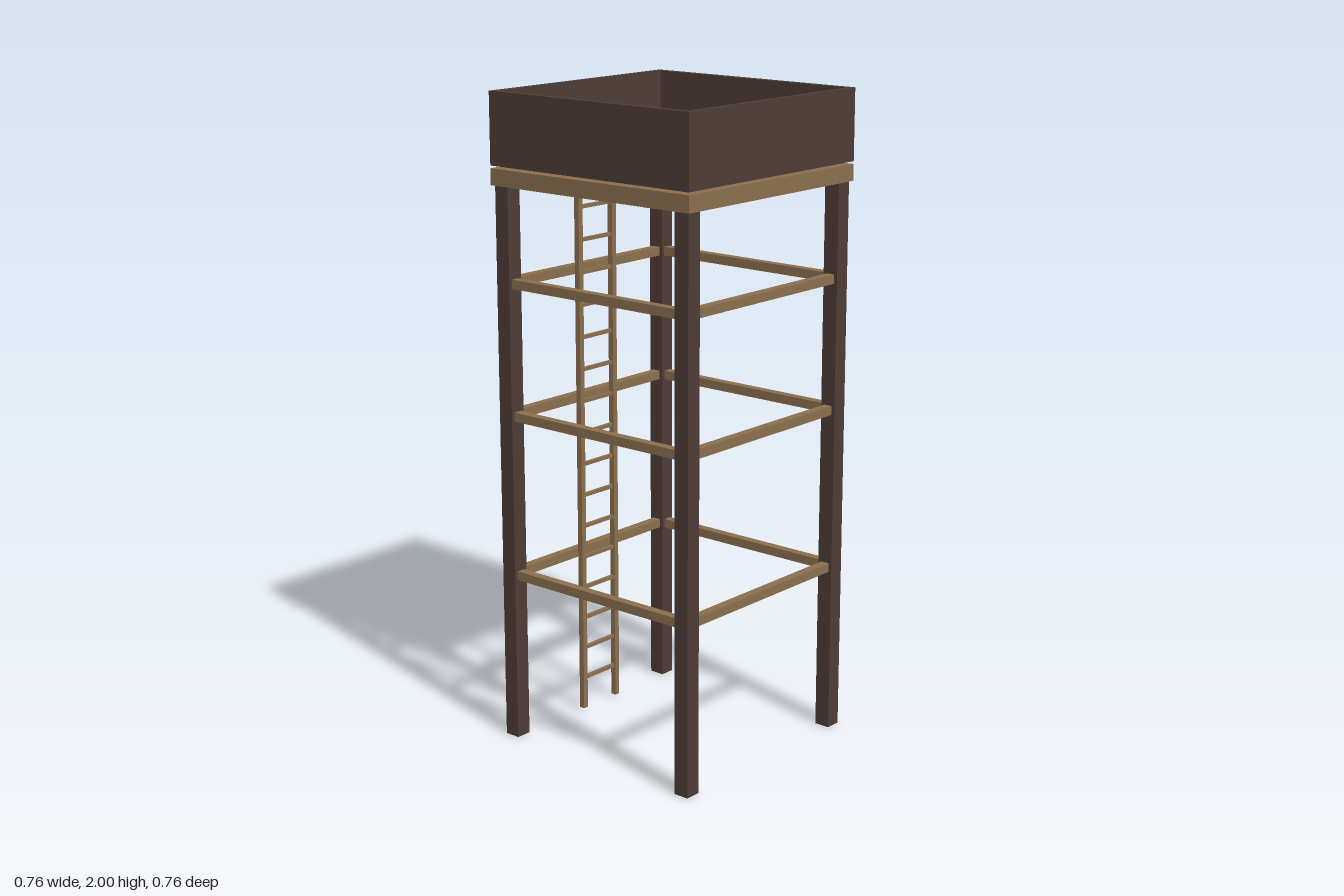
import * as THREE from 'three';

export function createModel() {
  const model = new THREE.Group();
  model.name = 'watchtower';

  const darkWood = new THREE.MeshStandardMaterial({ color: 0x4e3c36 });
  darkWood.name = 'dark wood';
  const lightWood = new THREE.MeshStandardMaterial({ color: 0x8b6f4e });
  lightWood.name = 'light wood';

  function addBox(parent, name, material, size, position) {
    const mesh = new THREE.Mesh(new THREE.BoxGeometry(...size), material);
    mesh.name = name;
    mesh.position.set(...position);
    parent.add(mesh);
  }

  function addGroup(name) {
    const group = new THREE.Group();
    group.name = name;
    model.add(group);
    return group;
  }

  const LEG = 0.05, LEG_POS = 0.344, DECK_BOTTOM = 1.725, DECK = 0.756;
  const SPAN = 2 * LEG_POS - LEG;

  // Four corner legs
  const legs = addGroup('legs');
  for (const x of [-1, 1]) for (const z of [-1, 1]) {
    addBox(legs, 'leg', darkWood, [LEG, DECK_BOTTOM, LEG],
      [x * LEG_POS, DECK_BOTTOM / 2, z * LEG_POS]);
  }

  // Three rings of horizontal braces between the legs
  const braces = addGroup('braces');
  const BRACE = 0.028;
  for (const y of [0.528, 1.03, 1.435]) for (const side of [-1, 1]) {
    addBox(braces, 'crossBrace', lightWood, [SPAN, BRACE, BRACE], [0, y, side * LEG_POS]);
    addBox(braces, 'sideBrace', lightWood, [BRACE, BRACE, SPAN], [side * LEG_POS, y, 0]);
  }

  // Platform floor
  addBox(model, 'platform', lightWood, [DECK, 0.05, DECK], [0, DECK_BOTTOM + 0.025, 0]);

  // Parapet walls, raised slightly above the floor
  const parapet = addGroup('parapet');
  const WALL = 0.02, WALL_BOTTOM = 1.783, wallHeight = 2 - WALL_BOTTOM;
  const wallY = WALL_BOTTOM + wallHeight / 2, wallPos = (DECK - WALL) / 2;
  for (const side of [-1, 1]) {
    addBox(parapet, 'crossWall', darkWood, [DECK, wallHeight, WALL], [0, wallY, side * wallPos]);
    addBox(parapet, 'sideWall', darkWood, [WALL, wallHeight, DECK - 2 * WALL], [side * wallPos, wallY, 0]);
  }

  // Ladder just inside the back braces
  const ladder = addGroup('ladder');
  ladder.position.z = -0.312;
  const RAIL = 0.018, RAIL_X = 0.075;
  for (const side of [-1, 1]) {
    addBox(ladder, 'ladderRail', lightWood, [RAIL, 1.71, RAIL], [side * RAIL_X, 0.865, 0]);
  }
  for (let i = 0; i < 16; i++) {
    addBox(ladder, 'ladderRung', lightWood, [2 * RAIL_X - RAIL, 0.011, 0.011],
      [0, 0.111 + i * 0.1012, 0]);
  }

  return model;
}
